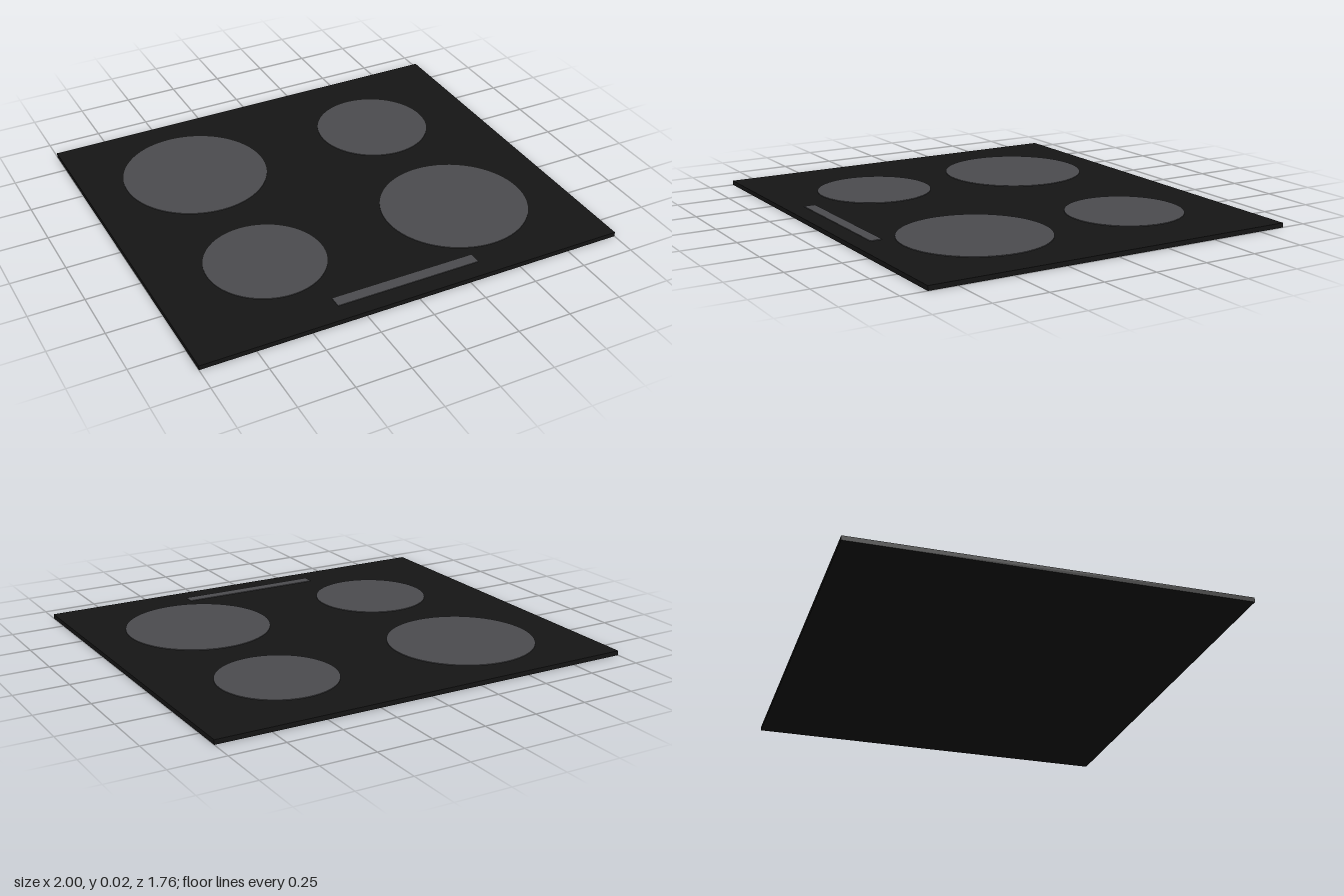
import * as THREE from 'three';

const PLATE_HEIGHT = 0.021;
const MARK_HEIGHT = 0.003;

export function createModel() {
  const group = new THREE.Group();
  group.name = 'cooktop';
  const glass = new THREE.MeshStandardMaterial({ color: 0x151515 });
  const marking = new THREE.MeshStandardMaterial({ color: 0x4b4b4e });

  function add(name, geometry, material, x, y, z) {
    const mesh = new THREE.Mesh(geometry, material);
    mesh.name = name;
    mesh.position.set(x, y, z);
    group.add(mesh);
  }

  // Glass plate
  add('glassPlate', new THREE.BoxGeometry(2, PLATE_HEIGHT, 1.764), glass, 0, PLATE_HEIGHT / 2, 0);

  // Cooking zones, large and small on opposite diagonals
  const markY = PLATE_HEIGHT + MARK_HEIGHT / 2;
  const zones = [
    ['backRightZone', -0.475, -0.41, 0.338],
    ['backLeftZone', 0.475, -0.41, 0.27],
    ['frontRightZone', -0.475, 0.37, 0.27],
    ['frontLeftZone', 0.475, 0.37, 0.338],
  ];
  for (const [name, x, z, radius] of zones) {
    add(name, new THREE.CylinderGeometry(radius, radius, MARK_HEIGHT, 64), marking, x, markY, z);
  }

  // Touch control strip along the front edge
  add('controlStrip', new THREE.BoxGeometry(0.68, MARK_HEIGHT, 0.054), marking, 0, markY, 0.767);

  return group;
}
